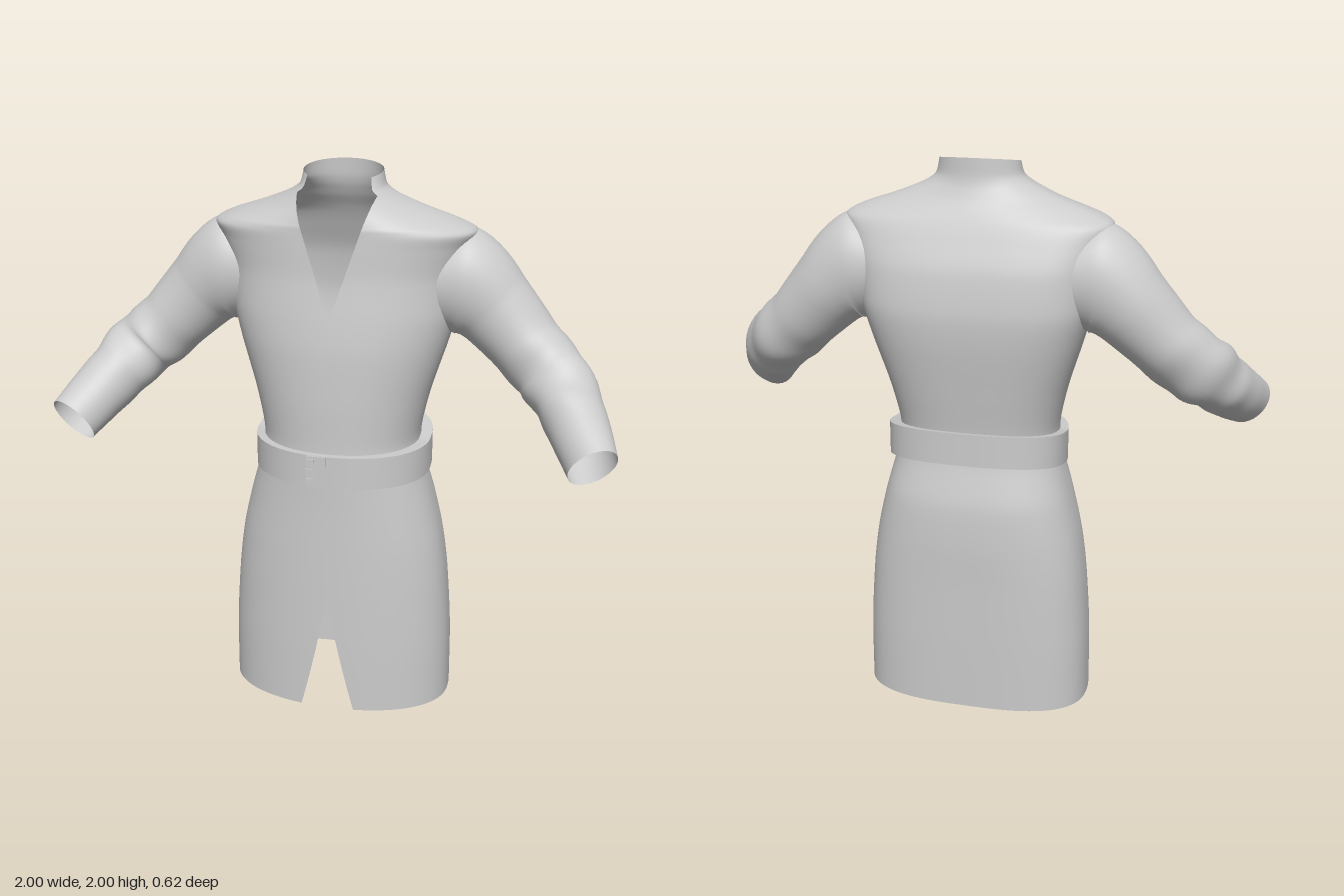
import * as THREE from 'three';
import { mergeVertices, toCreasedNormals } from 'three/addons/utils/BufferGeometryUtils.js';

const cloth = new THREE.MeshStandardMaterial({ color: 0xcccccc, side: THREE.DoubleSide });
const { smoothstep } = THREE.MathUtils;

// Skin a grid of points: point(row, column) -> Vector3
function loft(rows, cols, point) {
  const pos = [], idx = [];
  for (let r = 0; r <= rows; r++)
    for (let c = 0; c <= cols; c++) pos.push(...point(r, c).toArray());
  for (let r = 0; r < rows; r++)
    for (let c = 0; c < cols; c++) {
      const a = r * (cols + 1) + c, d = a + cols + 1;
      idx.push(a, a + 1, d + 1, a, d + 1, d);
    }
  let g = new THREE.BufferGeometry();
  g.setAttribute('position', new THREE.Float32BufferAttribute(pos, 3));
  g.setIndex(idx);
  g = mergeVertices(g, 1e-5);
  g.computeVertexNormals();
  return g;
}

function part(name, geometry) {
  const m = new THREE.Mesh(geometry, cloth);
  m.name = name;
  return m;
}

const spline = (list) => new THREE.CatmullRomCurve3(list.map((p) => new THREE.Vector3(...p)), false, 'catmullrom', 0.4);
const power = (v, e) => Math.sign(v) * Math.pow(Math.abs(v), e);

// Rounded outline; front and back have their own depth and squareness, side points sit at zc
function outline(t, w, zc, front, back, nFront, nBack) {
  const c = Math.cos(t);
  const depth = c > 0 ? front - zc : zc - back;
  const n = c > 0 ? nFront : nBack;
  return [w * power(Math.sin(t), 2 / n), zc + depth * power(c, 2 / n)];
}

// Body sections: y, half width, front z, back z, back squareness
const sections = [
  [0, 0.415, 0.21, -0.28, 2.8],
  [0.25, 0.412, 0.21, -0.285, 2.8],
  [0.49, 0.395, 0.208, -0.288, 2.8],
  [0.65, 0.373, 0.206, -0.291, 2.7],
  [0.8, 0.338, 0.204, -0.284, 2.7],
  [0.95, 0.297, 0.204, -0.25, 2.6],
  [1.05, 0.285, 0.2, -0.247, 2.6],
  [1.2, 0.315, 0.2, -0.27, 2.8],
  [1.38, 0.37, 0.194, -0.298, 3],
  [1.5, 0.4, 0.18, -0.305, 3.2],
  [1.64, 0.412, 0.158, -0.285, 3.3],
  [1.74, 0.443, 0.15, -0.247, 3],
  [1.79, 0.463, 0.146, -0.225, 2.5],
  [1.825, 0.4, 0.145, -0.207, 2],
  [1.865, 0.285, 0.142, -0.183, 1.8],
  [1.905, 0.19, 0.125, -0.165, 1.9],
  [1.94, 0.152, 0.1, -0.157, 2],
  [2, 0.139, 0.06, -0.154, 2],
];

// Half width of the front opening: hem slit below, V neck above
function opening(y, w) {
  if (y < 0.49) return 0.1 * Math.pow((0.49 - y) / 0.49, 1.25);
  if (y > 1.5) return Math.min(0.335 * (y - 1.5), w * 0.8);
  return 0;
}

function tunicGeometry() {
  const size = spline(sections.map(([y, w, , , n]) => [y, w, n]));
  const depth = spline(sections.map(([, , front, back]) => [front, back, 0]));
  const rows = (sections.length - 1) * 6, q = 20, H = Math.PI / 2;
  return loft(rows, q * 4, (r, c) => {
    const { x: y, y: w, z: nBack } = size.getPoint(r / rows);
    const { x: front, y: back } = depth.getPoint(r / rows);
    const nFront = Math.min(2.15, nBack);
    const zc = -0.04 - 0.035 * smoothstep(y, 1, 1.7) + 0.025 * smoothstep(y, 1.84, 1.95);
    const t0 = Math.asin(Math.pow(opening(y, w) / w, nFront / 2));
    // The side seams stay on fixed columns while the front edges move
    let t = (c / q) * H;
    if (c < q) t = t0 + (c / q) * (H - t0);
    else if (c > 3 * q) t = 3 * H + ((c - 3 * q) / q) * (H - t0);
    const [x, z] = outline(t, w, zc, front, back, nFront, nBack);
    // The collar rim slopes down toward the throat
    const drop = 0.18 * (z + 0.154) * smoothstep(y, 1.9, 2);
    return new THREE.Vector3(x, y - drop, z);
  });
}

// Sleeve: centre line with matching [upward radius, sideways radius, 0]
function sleeveGeometry(side) {
  const path = spline([[0.33, 1.615, -0.088], [0.43, 1.605, -0.088], [0.527, 1.52, -0.09], [0.65, 1.395, -0.068],
    [0.75, 1.305, -0.025], [0.822, 1.225, 0.068], [0.876, 1.157, 0.165], [0.921, 1.097, 0.263]]);
  const radius = spline([[0.165, 0.145, 0], [0.188, 0.152, 0], [0.148, 0.138, 0], [0.128, 0.122, 0],
    [0.125, 0.118, 0], [0.112, 0.112, 0], [0.103, 0.098, 0], [0.093, 0.076, 0]]);
  const rows = 56, cols = 40;
  return loft(rows, cols, (r, c) => {
    const u = r / rows, a = side * (c / cols) * Math.PI * 2;
    const T = path.getTangent(u);
    // The first rings follow the upright armhole plane
    T.lerp(new THREE.Vector3(0.99, -0.15, 0), 1 - smoothstep(u, 0.1, 0.3)).normalize();
    const A = new THREE.Vector3(0.6, 0.8, 0);
    A.addScaledVector(T, -A.dot(T)).normalize();
    const B = new THREE.Vector3().crossVectors(T, A);
    const { x: ra, y: rb } = radius.getPoint(u);
    // Slanted folds gathered round the elbow
    const fold = Math.exp(-Math.pow((u - 0.6) / 0.16, 2));
    const k = 1 + fold * (0.035 * Math.sin(u * 42 + 2.5 * Math.sin(a * side)) + 0.035 * Math.cos(3 * a * side + u * 20));
    const p = path.getPoint(u)
      .addScaledVector(A, ra * k * Math.cos(a))
      .addScaledVector(B, rb * k * Math.sin(a));
    p.x *= side;
    return p;
  });
}

// Belt: a rectangular profile swept round the waist, level in front and rising to the back
function beltGeometry() {
  const profile = [[0.04, 0.91], [0, 0.91], [0, 1.028], [0.04, 1.028], [0.04, 0.91]];
  const g = loft(4, 80, (r, c) => {
    const [inset, y] = profile[r];
    const [x, z] = outline((c / 80) * Math.PI * 2, 0.32 - inset, -0.04, 0.225 - inset, -0.273 + inset, 2.2, 2.6);
    return new THREE.Vector3(x + 0.006, y + 0.18 * Math.max(0, -0.02 - z), z);
  });
  return toCreasedNormals(g, 0.7);
}

export function createModel() {
  const model = new THREE.Group();
  model.name = 'tunic';
  model.add(part('tunicBody', tunicGeometry()));
  model.add(part('leftSleeve', sleeveGeometry(1)));
  model.add(part('rightSleeve', sleeveGeometry(-1)));
  model.add(part('belt', beltGeometry()));

  // Overlapping belt end with small clasps
  const buckle = new THREE.Group();
  buckle.name = 'beltClasp';
  const tab = part('beltEnd', new THREE.BoxGeometry(0.07, 0.116, 0.012));
  tab.position.set(-0.03, 0.969, 0.224);
  buckle.add(tab);
  for (let i = -1; i <= 1; i++) {
    const hook = part('claspHook', new THREE.BoxGeometry(0.028, 0.022, 0.014));
    hook.position.set(-0.053, 0.969 + i * 0.036, 0.227);
    buckle.add(hook);
  }
  model.add(buckle);
  return model;
}
